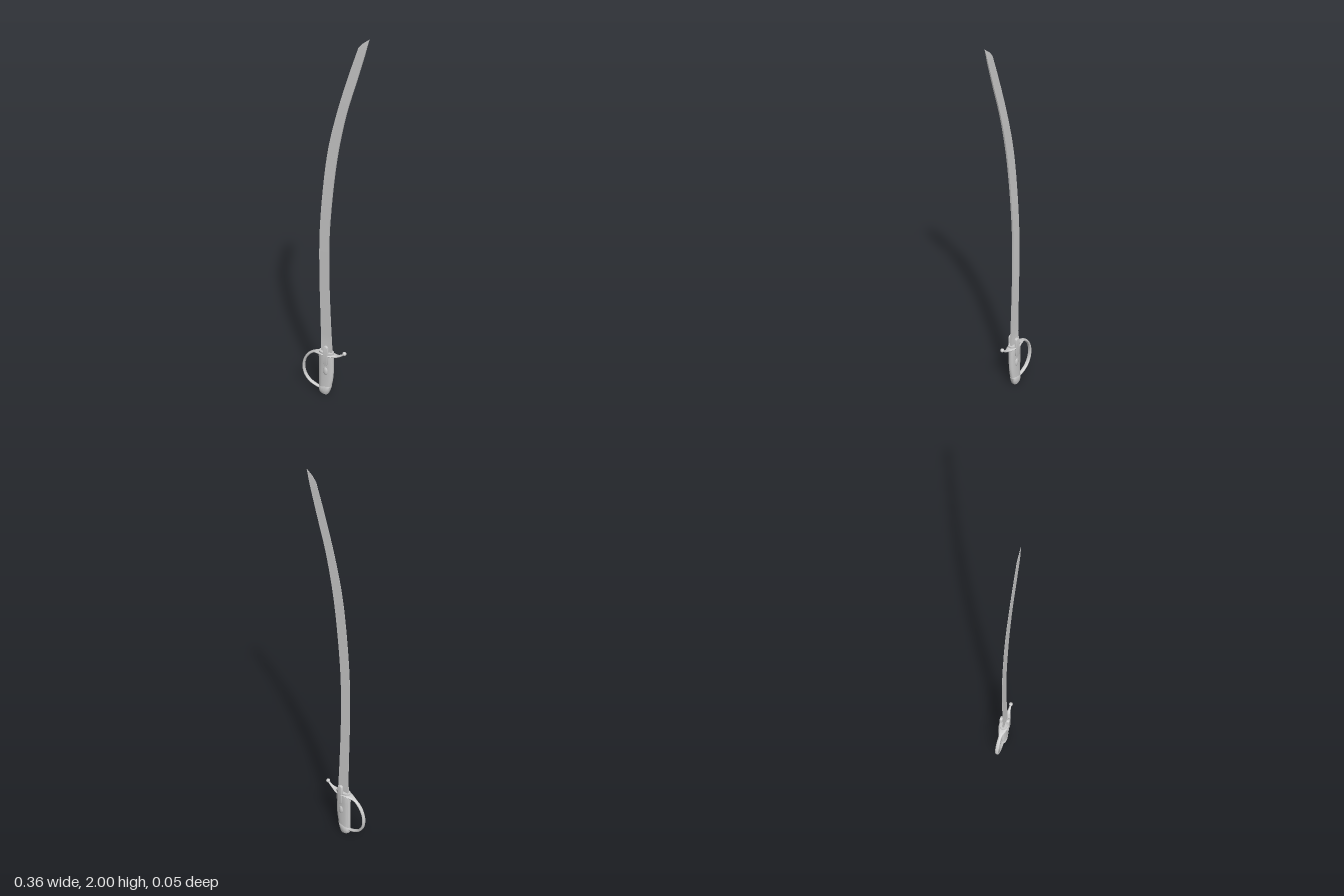
import * as THREE from 'three';
import { toCreasedNormals } from 'three/addons/utils/BufferGeometryUtils.js';

const material = new THREE.MeshStandardMaterial({ color: 0xcccccc });

// Skin a closed surface over a list of rings, with fan caps at both ends
function loft(rings, crease = 0.6) {
  const n = rings[0].length, pos = [];
  const tri = (a, b, c) => pos.push(...a, ...b, ...c);
  for (let i = 0; i < rings.length - 1; i++) {
    for (let j = 0; j < n; j++) {
      const k = (j + 1) % n, p = rings[i], q = rings[i + 1];
      tri(p[j], p[k], q[k]);
      tri(p[j], q[k], q[j]);
    }
  }
  const first = rings[0], last = rings[rings.length - 1];
  for (let j = 1; j < n - 1; j++) {
    tri(first[0], first[j + 1], first[j]);
    tri(last[0], last[j], last[j + 1]);
  }
  const g = new THREE.BufferGeometry();
  g.setAttribute('position', new THREE.Float32BufferAttribute(pos, 3));
  return toCreasedNormals(g, crease);
}

// Rounded ring seen from above; rows are [y, xMin, xMax, halfDepth, tilt]
function ovalRing([y, x0, x1, hz, tilt = 0], n = 28) {
  return Array.from({ length: n }, (_, i) => {
    const a = (i / n) * Math.PI * 2;
    const s = Math.sin(a), c = Math.cos(a);
    const round = (v) => Math.sign(v) * Math.abs(v) ** 0.85;
    return [(x0 + x1) / 2 + ((x1 - x0) / 2) * round(s), y + tilt * round(s), hz * round(c)];
  });
}

export function createModel() {
  const group = new THREE.Group();
  const add = (name, geometry, x = 0, y = 0, z = 0) => {
    const mesh = new THREE.Mesh(geometry, material);
    mesh.name = name;
    mesh.position.set(x, y, z);
    group.add(mesh);
    return mesh;
  };

  // Blade: wedge section with a sharp convex edge (-x) and flat concave spine (+x)
  const edge = new THREE.CatmullRomCurve3([
    [-0.071, 0.25], [-0.074, 0.45], [-0.079, 0.7], [-0.077, 0.95], [-0.058, 1.2],
    [-0.029, 1.42], [0.018, 1.62], [0.075, 1.81], [0.122, 1.95],
  ].map(([x, y]) => new THREE.Vector3(x, y, 0)));
  const spine = new THREE.CatmullRomCurve3([
    [-0.008, 0.25], [-0.018, 0.45], [-0.026, 0.7], [-0.024, 0.95], [-0.004, 1.2],
    [0.025, 1.42], [0.067, 1.62], [0.117, 1.79], [0.156, 1.925],
  ].map(([x, y]) => new THREE.Vector3(x, y, 0)));
  const bladeRing = (e, s, he, hs) => [[e.x, e.y, he], [s.x, s.y, hs], [s.x, s.y, -hs], [e.x, e.y, -he]];
  const bladeRings = [];
  for (let i = 0; i <= 40; i++) {
    const t = i / 40;
    const he = t < 0.05 ? 0.005 : 0.0007;
    bladeRings.push(bladeRing(edge.getPoint(t), spine.getPoint(t), he, 0.0055 - 0.002 * t));
  }
  bladeRings.push(bladeRing({ x: 0.142, y: 1.974 }, { x: 0.167, y: 1.968 }, 0.0007, 0.0025));
  bladeRings.push(bladeRing({ x: 0.1755, y: 2 }, { x: 0.1765, y: 1.999 }, 0.0003, 0.0004));
  add('blade', loft(bladeRings, 0.3));

  // Grip, slightly waisted, with the back curving in towards the pommel
  add('grip', loft([
    [0.045, -0.083, -0.014, 0.0165, 0.006], [0.08, -0.084, -0.007, 0.0165, 0.004],
    [0.12, -0.084, -0.002, 0.017, 0.001], [0.16, -0.084, 0, 0.0175],
    [0.2, -0.084, 0, 0.019], [0.24, -0.084, 0, 0.022], [0.268, -0.082, -0.001, 0.022],
  ].map((r) => ovalRing(r))));

  // Pommel cap
  add('pommel', loft([
    [0.003, -0.074, -0.032, 0.015, -0.002], [0.008, -0.08, -0.027, 0.017, -0.001],
    [0.025, -0.085, -0.019, 0.0185, 0.004], [0.047, -0.085, -0.012, 0.0185, 0.007],
    [0.051, -0.083, -0.014, 0.0165, 0.007],
  ].map((r) => ovalRing(r))));

  // Knuckle bow, guard plate and quillon in one sweep: x, y, half-width in z
  const path = new THREE.CatmullRomCurve3([
    [-0.068, 0.03, 0.009], [-0.1, 0.036, 0.0095], [-0.14, 0.056, 0.01], [-0.166, 0.092, 0.01],
    [-0.174, 0.135, 0.01], [-0.167, 0.178, 0.01], [-0.145, 0.218, 0.01], [-0.115, 0.243, 0.01],
    [-0.085, 0.252, 0.02], [-0.06, 0.255, 0.026], [-0.03, 0.254, 0.026], [0, 0.252, 0.019],
    [0.025, 0.257, 0.01], [0.045, 0.268, 0.006], [0.06, 0.281, 0.005],
  ].map((p) => new THREE.Vector3(...p)));
  const guardRings = [];
  const steps = 84, sides = 16;
  for (let i = 0; i <= steps; i++) {
    const t = i / steps, p = path.getPoint(t), d = path.getTangent(t);
    const len = Math.hypot(d.x, d.y), tx = d.x / len, ty = d.y / len;
    const thick = t > 0.8 ? 0.007 - 0.012 * (t - 0.8) : 0.007;
    guardRings.push(Array.from({ length: sides }, (_, j) => {
      const a = (j / sides) * Math.PI * 2, v = Math.sin(a) * thick;
      return [p.x + ty * v, p.y - tx * v, Math.cos(a) * p.z];
    }));
  }
  add('guard', loft(guardRings));
  add('quillonBall', new THREE.SphereGeometry(0.0105, 20, 14), 0.061, 0.283, 0);

  // Langets and grip studs on both sides
  const r = 0.011, half = 0.045;
  const stadium = new THREE.Shape();
  stadium.absarc(0, half, r, 0, Math.PI);
  stadium.absarc(0, -half, r, Math.PI, Math.PI * 2);
  const langet = toCreasedNormals(new THREE.ExtrudeGeometry(stadium, {
    depth: 0.01, bevelThickness: 0.002, bevelSize: 0.002, bevelSegments: 3, curveSegments: 12,
  }).translate(0, 0, -0.005), 0.6);
  for (const side of [1, -1]) {
    const name = side > 0 ? 'front' : 'back';
    add(name + 'Langet', langet, -0.036, 0.253, side * 0.0195);
    const stud = add(name + 'Stud', new THREE.SphereGeometry(1, 20, 14), -0.038, 0.153, side * 0.016);
    stud.scale.set(0.0125, 0.025, 0.007);
  }
  return group;
}
